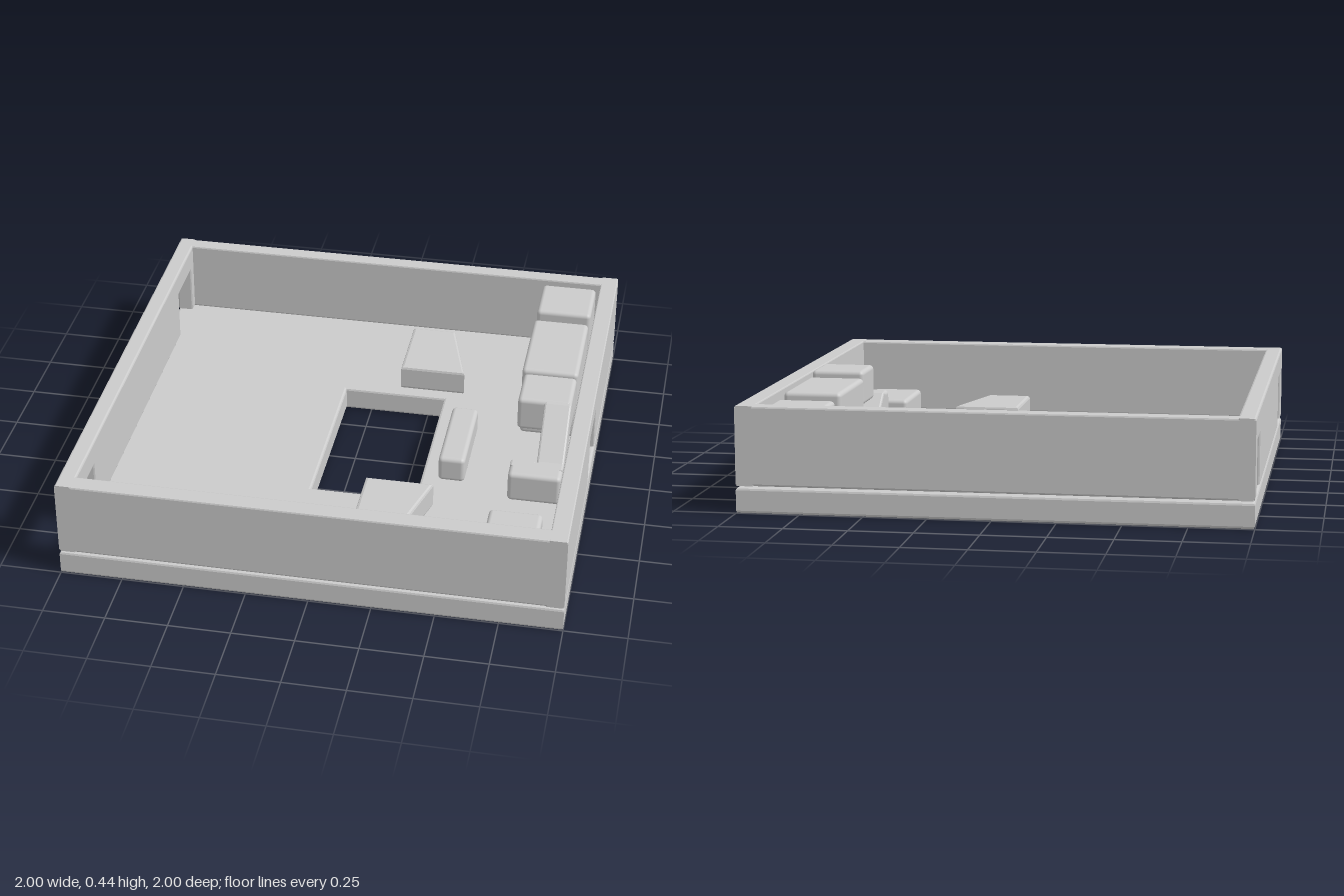
import * as THREE from 'three';
import { RoundedBoxGeometry } from 'three/addons/geometries/RoundedBoxGeometry.js';

const material = new THREE.MeshStandardMaterial({ color: 0xcccccc });
const FLOOR = 0.1, WALL_BASE = 0.107, WALL_TOP = 0.42;

const toShape = pts => new THREE.Shape(pts.map(([a, b]) => new THREE.Vector2(a, b)));
const rect = (x0, x1, z0, z1) => [[x0, z0], [x1, z0], [x1, z1], [x0, z1]];

// Extrusion with softened edges that keeps the outline at its given size
function bevelled(shape, depth, b) {
  const g = new THREE.ExtrudeGeometry(shape, {
    depth: depth - 2 * b, bevelEnabled: true, bevelSize: b,
    bevelThickness: b, bevelOffset: -b, bevelSegments: 2,
  });
  return g.translate(0, 0, b);
}

// Plan outline (x, z) raised from y0 to y1
const plan = (shape, y0, y1, b) => bevelled(shape, y1 - y0, b).rotateX(Math.PI / 2).translate(0, y1, 0);

// Side profile (z, y) running from x0 to x1
const profile = (pts, x0, x1, b) =>
  bevelled(toShape(pts.map(([z, y]) => [-z, y])), x1 - x0, b).rotateY(Math.PI / 2).translate(x0, 0, 0);

// Soft-edged box given by its limits
const softBox = (x0, x1, y0, y1, z0, z1, r = 0.018) =>
  new RoundedBoxGeometry(x1 - x0, y1 - y0, z1 - z0, 3, r)
    .translate((x0 + x1) / 2, (y0 + y1) / 2, (z0 + z1) / 2);

// Wall profile with notches [z0, z1, top] cut upwards from its lower edge
function notchedWall(notches) {
  const pts = [[-1, WALL_TOP], [-1, WALL_BASE]];
  for (const [z0, z1, top] of notches) {
    pts.push([z0, WALL_BASE], [z0, top], [z1, top], [z1, WALL_BASE]);
  }
  pts.push([1, WALL_BASE], [1, WALL_TOP]);
  return pts;
}

export function createModel() {
  const model = new THREE.Group();
  const add = (name, geometry, parent = model) => {
    const mesh = new THREE.Mesh(geometry, material);
    mesh.name = name;
    parent.add(mesh);
  };

  // Floor slab with a rectangular opening
  const floor = toShape(rect(-1, 1, -1, 1));
  floor.holes.push(new THREE.Path(rect(-0.11, 0.32, -0.38, 0.385).map(([x, z]) => new THREE.Vector2(x, z))));
  add('floorSlab', plan(floor, 0, FLOOR, 0.01));

  // Perimeter walls, just clear of the floor, with doorways on both sides
  add('backWall', plan(toShape(rect(-1, 1, -1, -0.935)), WALL_BASE, WALL_TOP, 0.008));
  add('frontWall', plan(toShape(rect(-1, 1, 0.925, 1)), WALL_BASE, WALL_TOP, 0.008));
  add('rightWall', profile(notchedWall([[-0.9, -0.67, 0.32], [0.69, 0.91, 0.32]]), -1, -0.93, 0.008));
  const leftWall = [
    [-1, WALL_TOP], [-1, WALL_BASE], [-0.58, WALL_BASE], [-0.58, 0.12], [-0.1, 0.12],
    [-0.1, 0.325], [0.15, 0.325], [0.15, WALL_BASE], [1, WALL_BASE], [1, WALL_TOP],
  ];
  add('leftWall', profile(leftWall, 0.928, 1, 0.005));

  // Blocks standing along the left wall and beside the opening
  add('cornerBlock', softBox(0.675, 0.91, FLOOR, 0.4, -0.93, -0.69));
  add('tallBlock', softBox(0.675, 0.91, FLOOR, 0.415, -0.6, -0.18));
  add('lowBlock', softBox(0.645, 0.86, FLOOR, 0.21, 0.54, 0.87));
  add('bar', softBox(0.39, 0.5, FLOOR, 0.21, -0.165, 0.235));

  // Pair of tapered blocks at the ends of the opening
  for (const [name, zOuter, zInner] of [['backTaperedBlock', -0.765, -0.428], ['frontTaperedBlock', 0.757, 0.418]]) {
    const outline = toShape([[0.122, zOuter], [0.31, zOuter], [0.4, zInner], [0.122, zInner]]);
    add(name, plan(outline, FLOOR, 0.21, 0.012));
  }

  // Two-flight ramp: lower flight, turning landing, upper flight, top platform
  const ramp = new THREE.Group();
  ramp.name = 'ramp';
  model.add(ramp);
  add('lowerFlight', profile([[0.08, FLOOR], [0.25, FLOOR], [0.33, 0.17], [0.33, 0.28], [0.29, 0.28], [0.08, 0.115]],
    0.695, 0.8, 0.008), ramp);
  add('turningLanding', softBox(0.695, 0.91, 0.15, 0.28, 0.28, 0.395), ramp);
  add('upperFlight', profile([[0.05, 0.432], [0.085, 0.432], [0.285, 0.28], [0.33, 0.28], [0.33, 0.15], [0.26, 0.15], [0.08, 0.29], [0.05, 0.29]],
    0.8, 0.91, 0.008), ramp);
  add('topPlatform', softBox(0.69, 0.91, 0.29, 0.435, -0.13, 0.08), ramp);

  return model;
}
